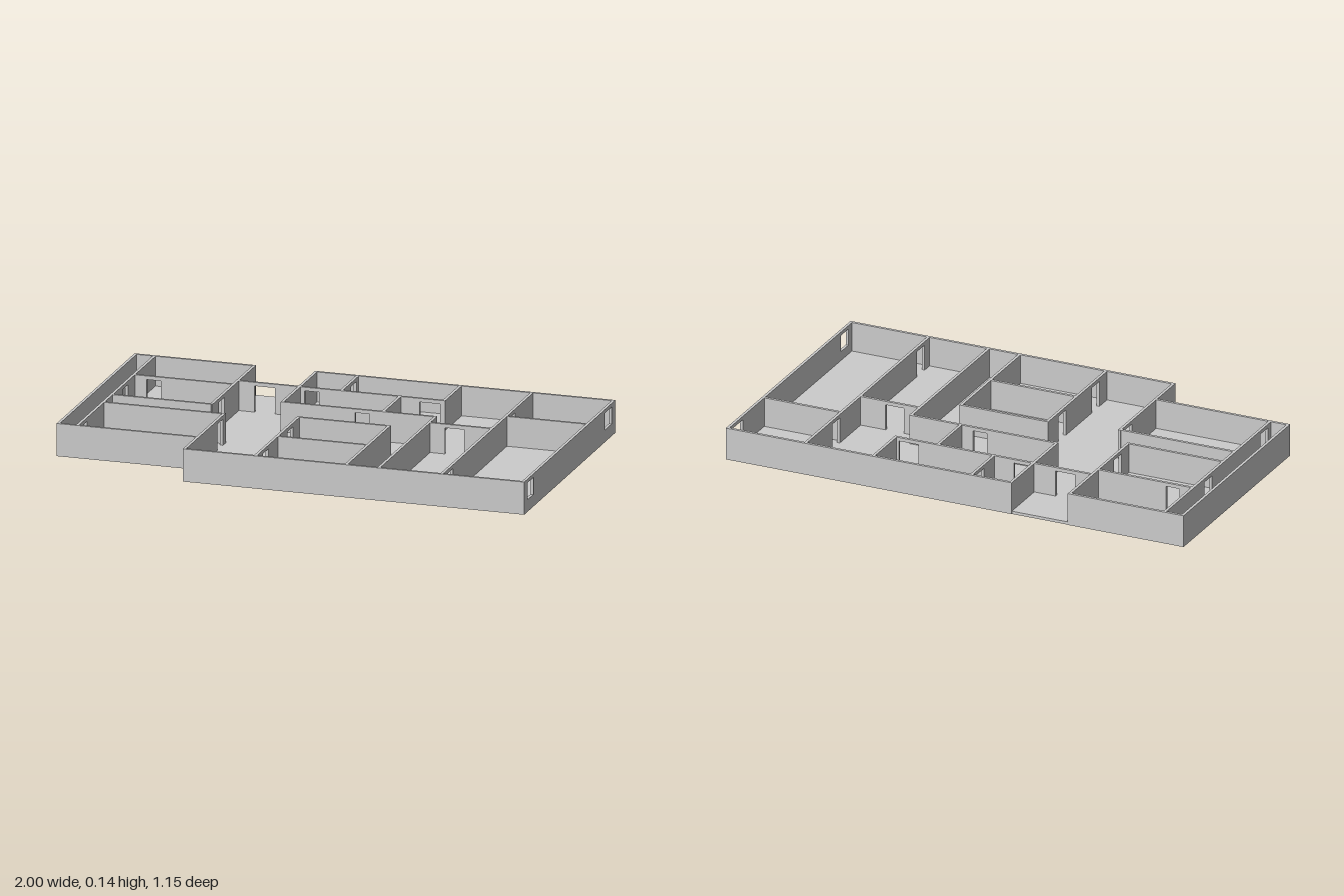
import * as THREE from 'three';

const T = 0.012;      // wall thickness
const H = 0.135;      // wall height
const FLOOR = 0.012;  // slab thickness
const HEAD = 0.12;    // top of doors and windows
const SILL = 0.05;    // bottom of windows

const material = new THREE.MeshStandardMaterial({ color: 0xcccccc, flatShading: true });

const door = (centre, width = 0.07) => [centre - width / 2, centre + width / 2, FLOOR];
const windowAt = (from, to) => [from, to, SILL];

// Upright wall panel from a to b with rectangular openings, in the xy plane
function panel(a, b, openings) {
  const rect = (C, x0, x1, y0, y1) => {
    const r = new C();
    r.moveTo(x0, y0);
    r.lineTo(x1, y0);
    r.lineTo(x1, y1);
    r.lineTo(x0, y1);
    r.closePath();
    return r;
  };
  const shape = rect(THREE.Shape, a, b, 0, H);
  for (const [from, to, bottom] of openings) {
    shape.holes.push(rect(THREE.Path, from, to, bottom, HEAD));
  }
  return new THREE.ExtrudeGeometry(shape, { depth: T, bevelEnabled: false }).translate(0, 0, -T / 2);
}

export function createModel() {
  const model = new THREE.Group();
  model.name = 'floorPlan';
  const outer = new THREE.Group();
  outer.name = 'outerWalls';
  const inner = new THREE.Group();
  inner.name = 'innerWalls';
  model.add(outer, inner);

  // Walls running along x sit at a fixed z, walls along z at a fixed x
  function alongX(group, name, z, a, b, ...openings) {
    const mesh = new THREE.Mesh(panel(a, b, openings), material);
    mesh.position.z = z;
    mesh.name = name;
    group.add(mesh);
  }
  function alongZ(group, name, x, a, b, ...openings) {
    const mesh = new THREE.Mesh(panel(a, b, openings).rotateY(-Math.PI / 2), material);
    mesh.position.x = x;
    mesh.name = name;
    group.add(mesh);
  }

  // Floor slab with the stepped front corner
  const e = 0.002;
  const plan = new THREE.Shape([
    [-1 + e, 0.577 - e], [1 - e, 0.577 - e], [1 - e, -0.577 + e],
    [-0.42 + e, -0.577 + e], [-0.42 + e, -0.41 + e], [-1 + e, -0.41 + e],
  ].map(([x, y]) => new THREE.Vector2(x, y)));
  const slab = new THREE.ExtrudeGeometry(plan, { depth: FLOOR, bevelEnabled: false });
  const floor = new THREE.Mesh(slab.rotateX(-Math.PI / 2), material);
  floor.name = 'floor';
  model.add(floor);

  // Outer walls, with an open entrance in the back
  alongX(outer, 'backWallRight', -0.571, -1, -0.494);
  alongX(outer, 'backWallLeft', -0.571, -0.249, 1);
  alongX(outer, 'frontWall', 0.571, -0.42, 1);
  alongX(outer, 'steppedFrontWall', 0.404, -1, -0.41);
  alongZ(outer, 'leftSideWall', 0.994, -0.577, 0.577, windowAt(-0.53, -0.445), windowAt(0.463, 0.533));
  alongZ(outer, 'rightSideWall', -0.994, -0.577, 0.41);
  alongZ(outer, 'stepWall', -0.414, 0.07, 0.577, door(0.14));

  // Rooms beside the narrow side passage
  alongZ(inner, 'sidePassageWall', -0.915, -0.575, 0.408, door(-0.18), door(0.335));
  alongZ(inner, 'entranceRightWall', -0.5, -0.575, -0.027, door(-0.14));
  alongX(inner, 'backRoomDivider', -0.31, -0.915, -0.5, door(-0.83, 0.06));
  alongX(inner, 'backRoomFrontWall', -0.03, -0.915, -0.5);
  alongX(inner, 'frontRoomBackWall', 0.077, -0.915, -0.41);

  // Entrance lobby and the middle back rooms
  alongX(inner, 'lobbyWall', -0.362, -0.5, 0.362, door(-0.385, 0.085), door(-0.19, 0.06), door(0.3, 0.085));
  alongZ(inner, 'entranceLeftWall', -0.243, -0.575, -0.142);
  alongZ(inner, 'smallRoomDivider', -0.07, -0.575, -0.36, door(-0.5));
  alongZ(inner, 'backRoomSideWall', 0.358, -0.575, -0.357);
  alongX(inner, 'middleRoomFrontWall', -0.147, -0.248, 0.398, door(0.09, 0.06));
  alongZ(inner, 'middleRoomSideWall', 0.175, -0.362, -0.147);

  // Pair of rooms at the centre front
  alongZ(inner, 'centreRoomRightWall', -0.12, 0.022, 0.574, door(0.15), door(0.46));
  alongZ(inner, 'centreRoomLeftWall', 0.257, 0.022, 0.574);
  alongX(inner, 'centreRoomBackWall', 0.027, -0.12, 0.257);
  alongX(inner, 'centreRoomDivider', 0.295, -0.12, 0.257);

  // Long rooms at the left end
  alongZ(inner, 'longRoomRightWall', 0.393, -0.15, 0.574);
  alongX(inner, 'longRoomBackWall', -0.066, 0.393, 0.655, door(0.5, 0.08));
  alongZ(inner, 'endRoomWall', 0.655, -0.575, 0.574, door(-0.3), door(0.485));
  alongX(inner, 'endRoomDivider', -0.24, 0.655, 0.99);

  return model;
}
